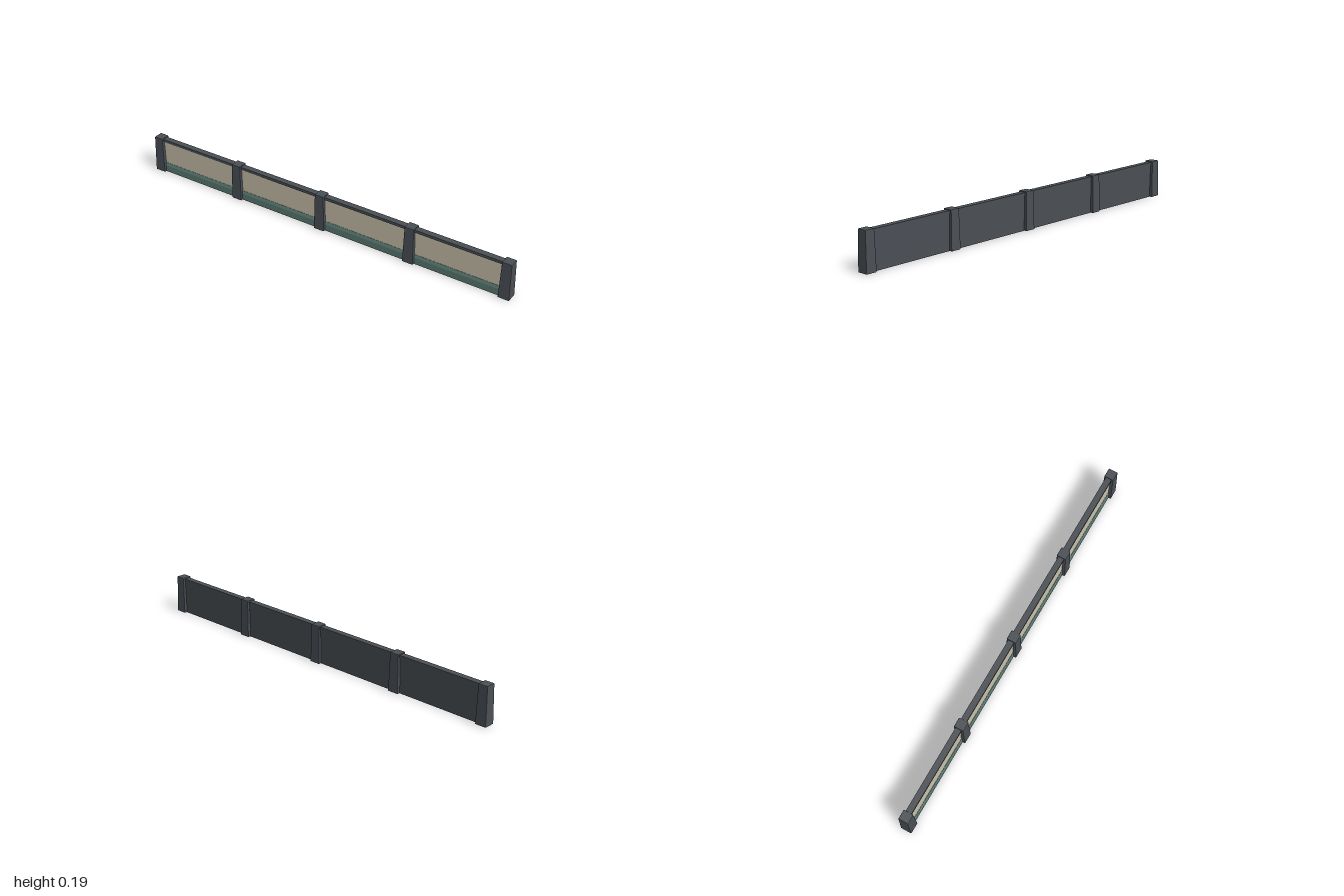
import * as THREE from 'three';
import { RoundedBoxGeometry } from 'three/addons/geometries/RoundedBoxGeometry.js';

const material = (name, color) => {
  const m = new THREE.MeshStandardMaterial({ color });
  m.name = name;
  return m;
};

export function createModel() {
  const root = new THREE.Group();
  root.name = 'fenceWall';
  const dark = material('charcoal', 0x4b5056);
  const cream = material('cream', 0xcbc4ae);
  const green = material('mutedGreen', 0x5c7d74);

  const add = (parent, name, geometry, mat, x = 0, y = 0, z = 0) => {
    const mesh = new THREE.Mesh(geometry, mat);
    mesh.name = name;
    mesh.position.set(x, y, z);
    parent.add(mesh);
    return mesh;
  };

  // Tapered post with small chamfered edges, standing on the ground
  const postHeight = 0.19;
  const postGeometry = new RoundedBoxGeometry(0.056, postHeight, 0.056, 1, 0.003);
  postGeometry.translate(0, postHeight / 2, 0);
  const p = postGeometry.attributes.position;
  for (let i = 0; i < p.count; i++) {
    const s = 1 - 0.14 * (p.getY(i) / postHeight);
    p.setX(i, p.getX(i) * s);
    p.setZ(i, p.getZ(i) * s);
  }
  postGeometry.computeVertexNormals();

  // Plinth cross-section with a sloped upper edge, run along x
  const span = 0.485;
  const profile = new THREE.Shape([
    [-0.006, 0], [-0.015, 0], [-0.015, 0.034], [-0.011, 0.05], [-0.006, 0.05],
  ].map(([x, y]) => new THREE.Vector2(x, y)));
  const plinthGeometry = new THREE.ExtrudeGeometry(profile, { depth: span, bevelEnabled: false });
  plinthGeometry.translate(0, 0, -span / 2);
  plinthGeometry.rotateY(Math.PI / 2);

  const backing = new THREE.BoxGeometry(span, 0.175, 0.018);
  const facing = new THREE.BoxGeometry(span, 0.124, 0.004);
  const cap = new THREE.BoxGeometry(span, 0.014, 0.03);

  // Four panels between five posts
  for (let i = 0; i < 4; i++) {
    const panel = new THREE.Group();
    panel.name = 'panel';
    panel.position.x = (i - 1.5) * span;
    root.add(panel);
    add(panel, 'backing', backing, dark, 0, 0.0875, -0.003);
    add(panel, 'creamFacing', facing, cream, 0, 0.11, 0.008);
    add(panel, 'topRail', cap, dark, 0, 0.178, 0);
    // The profile faces -x, which the turn maps to +z
    add(panel, 'plinth', plinthGeometry, green);
  }
  for (let i = 0; i < 5; i++) add(root, 'post', postGeometry, dark, (i - 2) * span * 1.002);
  return root;
}
